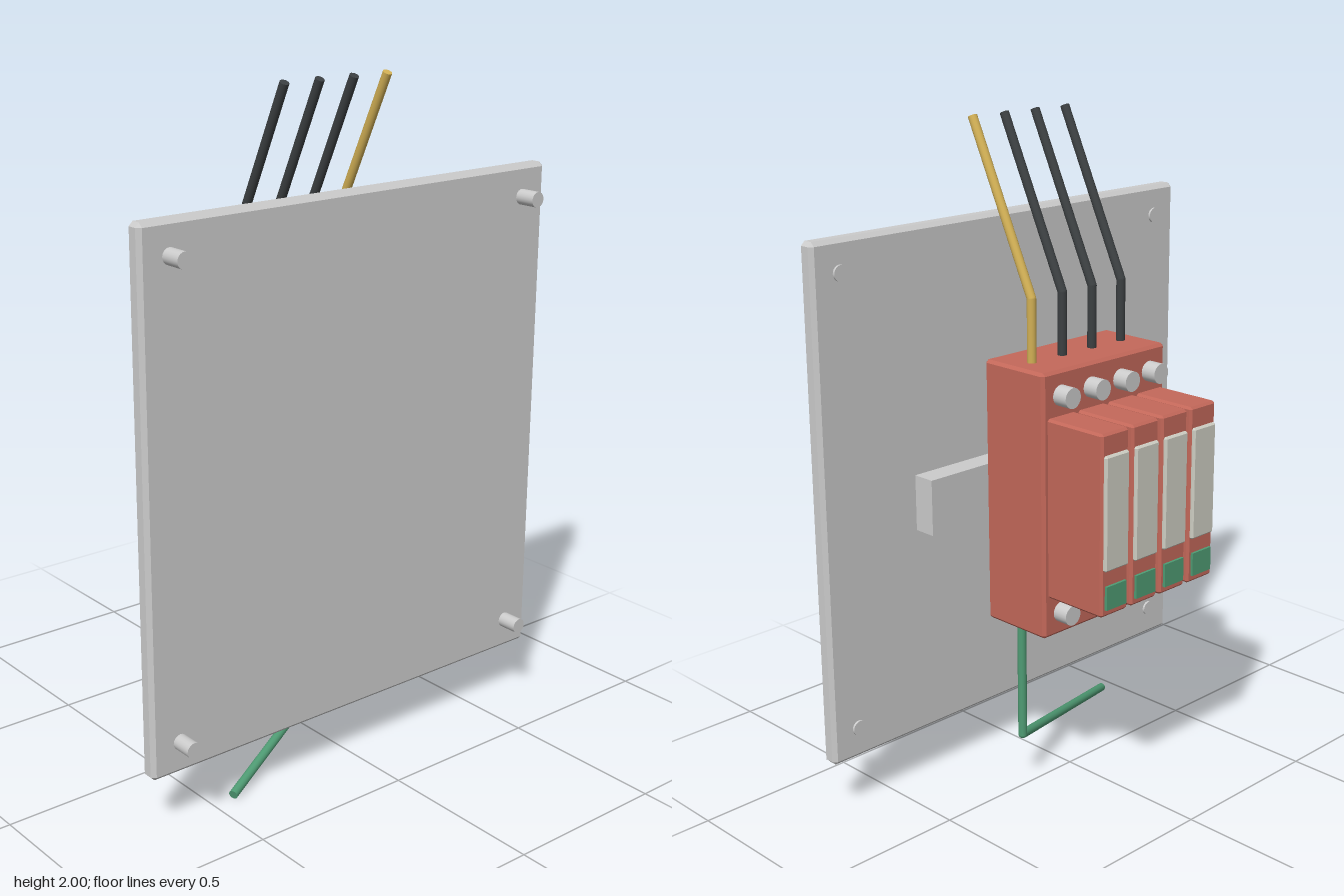
import * as THREE from 'three';
import { ConvexGeometry } from 'three/addons/geometries/ConvexGeometry.js';

const mat = (color, flatShading = false) => new THREE.MeshStandardMaterial({ color, flatShading });

// Box given by its limits, with every edge chamfered by c
function chamferBox([x0, x1], [y0, y1], [z0, z1], c) {
  const half = [(x1 - x0) / 2, (y1 - y0) / 2, (z1 - z0) / 2];
  const points = [];
  for (const sx of [-1, 1]) for (const sy of [-1, 1]) for (const sz of [-1, 1]) {
    for (let axis = 0; axis < 3; axis++) {
      const p = half.map((h, i) => (i === axis ? h : h - c));
      points.push(new THREE.Vector3(p[0] * sx, p[1] * sy, p[2] * sz));
    }
  }
  return new ConvexGeometry(points).translate((x0 + x1) / 2, (y0 + y1) / 2, (z0 + z1) / 2);
}

function box([x0, x1], [y0, y1], [z0, z1]) {
  return new THREE.BoxGeometry(x1 - x0, y1 - y0, z1 - z0)
    .translate((x0 + x1) / 2, (y0 + y1) / 2, (z0 + z1) / 2);
}

// Cylinder lying along z
function pin(x, y, z0, z1, r) {
  return new THREE.CylinderGeometry(r, r, z1 - z0, 20).rotateX(Math.PI / 2).translate(x, y, (z0 + z1) / 2);
}

export function createModel() {
  const model = new THREE.Group();
  const grey = mat(0xcccccc), greyFlat = mat(0xcccccc, true);
  const red = mat(0xc4685a, true), black = mat(0x3c4042), yellow = mat(0xd2b055);
  const green = mat(0x4f9c74), label = mat(0xcfcfc4);

  const add = (name, geometry, material, parent = model) => {
    const mesh = new THREE.Mesh(geometry, material);
    mesh.name = name;
    parent.add(mesh);
    return mesh;
  };

  // Straight wire runs with a round joint at each bend
  const wire = (name, coords, material, r = 0.0135) => {
    const group = new THREE.Group();
    group.name = name;
    const pts = coords.map((p) => new THREE.Vector3(...p));
    for (let i = 1; i < pts.length; i++) {
      const dir = pts[i].clone().sub(pts[i - 1]);
      const run = add(name + 'Run', new THREE.CylinderGeometry(r, r, dir.length(), 14), material, group);
      run.position.copy(pts[i]).add(pts[i - 1]).multiplyScalar(0.5);
      run.quaternion.setFromUnitVectors(new THREE.Vector3(0, 1, 0), dir.normalize());
      if (i < pts.length - 1) {
        add(name + 'Bend', new THREE.SphereGeometry(r, 14, 10), material, group).position.copy(pts[i]);
      }
    }
    model.add(group);
  };

  // Mounting panel with four corner screws
  add('panel', chamferBox([-0.72, 0.72], [0.165, 1.705], [0.248, 0.3], 0.012), greyFlat);
  for (const x of [-0.627, 0.627]) for (const y of [0.26, 1.612]) {
    add('panelScrew', pin(x, y, 0.241, 0.365, 0.023), grey);
  }

  // Rail and the base block it carries
  add('rail', box([-0.458, 0.458], [0.855, 1.02], [0.09, 0.16]), grey);
  add('baseBlock', chamferBox([-0.25, 0.25], [0.542, 1.332], [-0.144, 0.092], 0.009), red);

  // Four plug-in modules, each with a label, indicator and terminal screws
  for (let i = 0; i < 4; i++) {
    const x = -0.181 + i * 0.1207;
    const module = new THREE.Group();
    module.name = 'module';
    model.add(module);
    add('moduleCase', chamferBox([x - 0.054, x + 0.054], [0.668, 1.202], [-0.355, -0.14], 0.007), red, module);
    add('moduleLabel', chamferBox([x - 0.047, x + 0.047], [0.805, 1.14], [-0.365, -0.345], 0.005), label, module);
    add('indicator', box([x - 0.04, x + 0.04], [0.69, 0.76], [-0.363, -0.345]), green, module);
    for (const y of [0.612, 1.26]) add('terminalScrew', pin(x, y, -0.193, -0.135, 0.03), grey, module);

    // Supply wire leaving the top
    wire('supplyWire', [[x, 1.31, -0.03], [x, 1.515, -0.03], [x, 1.995, 0.2]], i === 3 ? yellow : black);
  }

  // Earth wire leaving the bottom
  wire('earthWire', [[0.19, 0.56, 0.012], [0.19, 0.165, 0.012], [-0.435, 0.015, 0.28]], green);
  return model;
}
